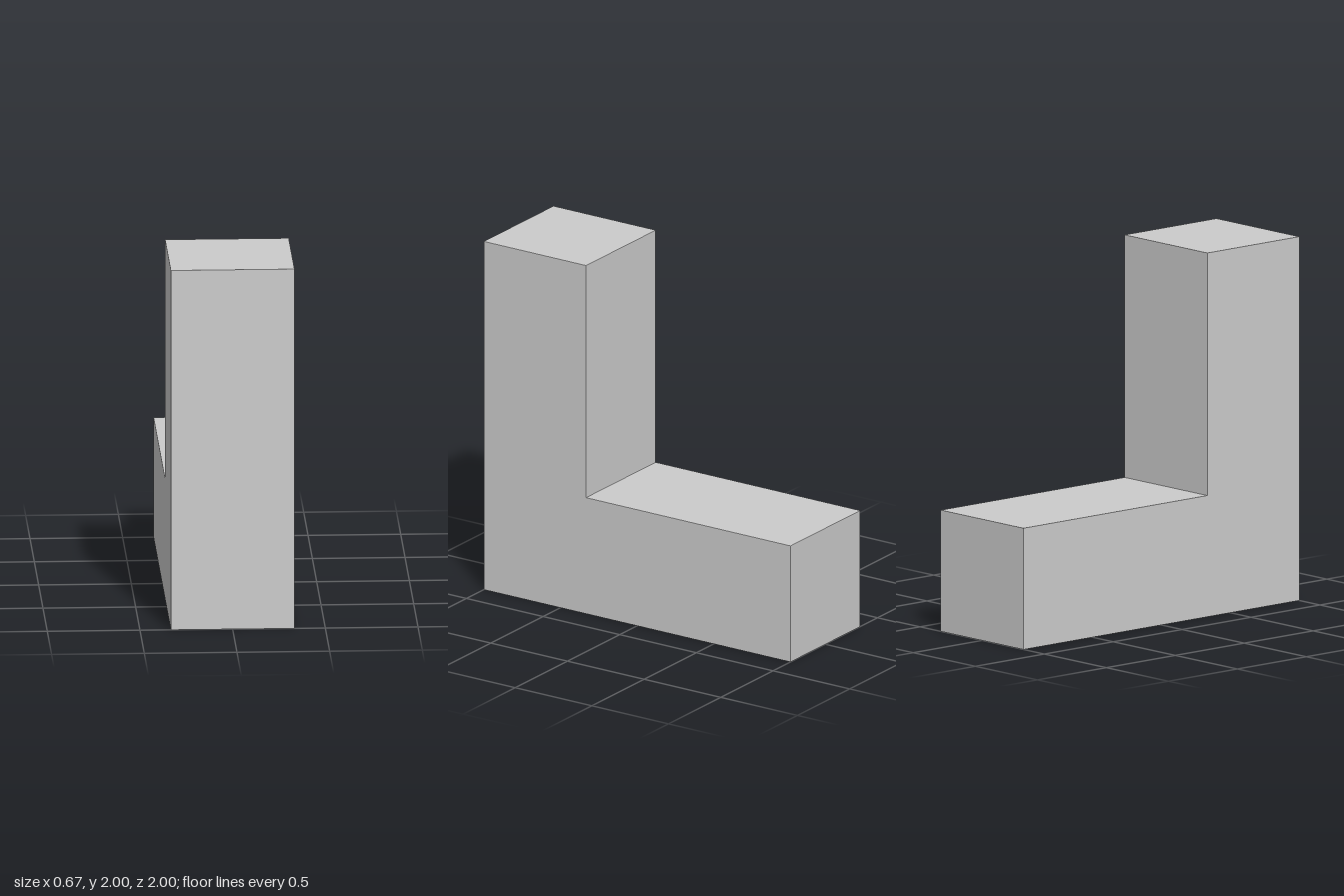
import * as THREE from 'three';

const UNIT = 2 / 3; // edge of one square cell; the block is three cells tall and deep

export function createModel() {
  const model = new THREE.Group();
  model.name = 'lBlock';

  // L-shaped side profile: x is depth (front positive), y is height
  const profile = new THREE.Shape([
    [-1, 0], [1, 0], [1, 2], [1 - UNIT, 2], [1 - UNIT, UNIT], [-1, UNIT],
  ].map(([z, y]) => new THREE.Vector2(z, y)));

  // Extrude across the width, then turn the profile to face sideways
  const geometry = new THREE.ExtrudeGeometry(profile, { depth: UNIT, bevelEnabled: false });
  geometry.translate(0, 0, -UNIT / 2);
  geometry.rotateY(-Math.PI / 2);

  const block = new THREE.Mesh(
    geometry,
    new THREE.MeshStandardMaterial({ color: 0xcccccc, flatShading: true }),
  );
  block.name = 'uprightAndFoot';
  model.add(block);
  return model;
}
